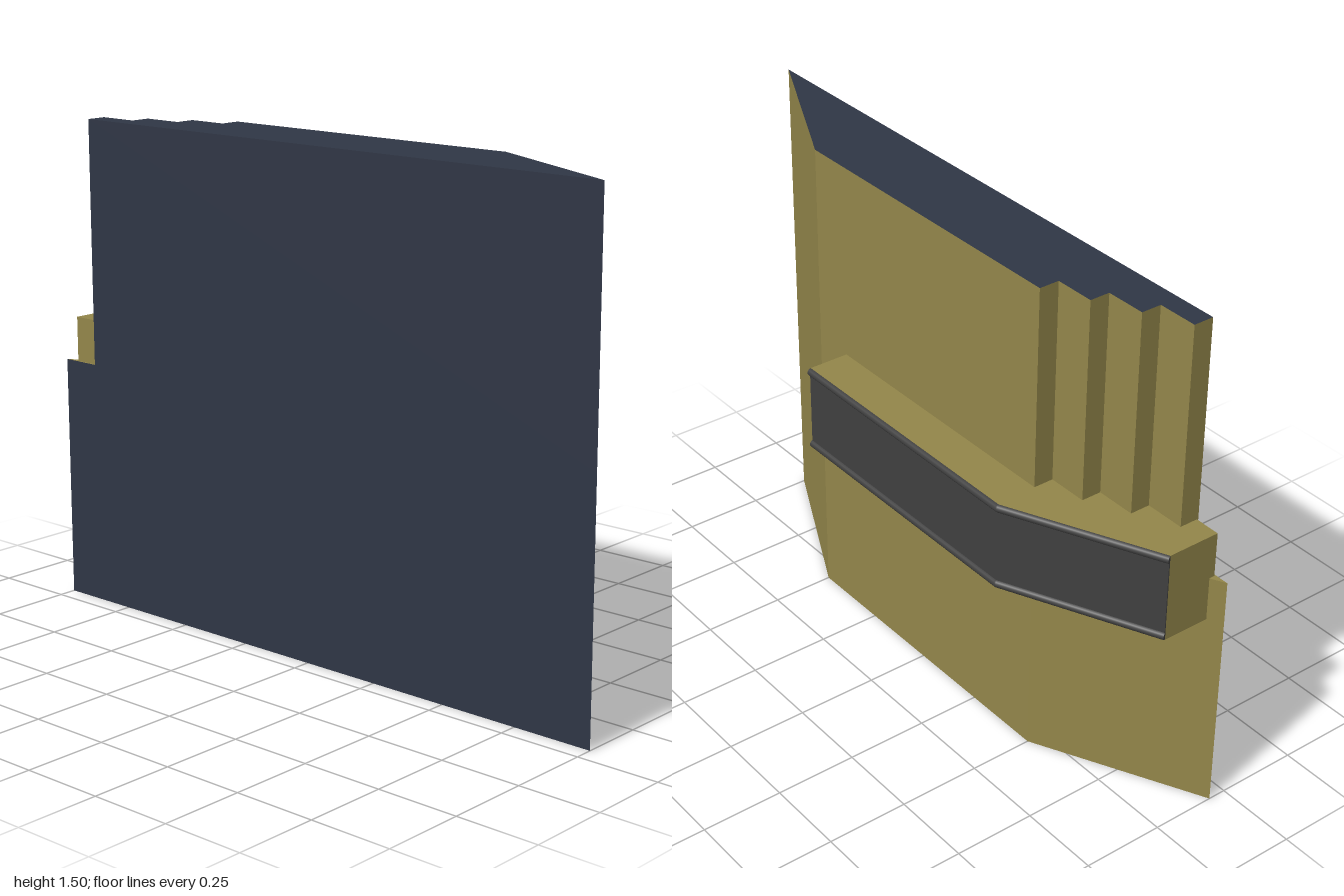
import * as THREE from 'three';

const navy = new THREE.MeshStandardMaterial({ color: 0x2f3645 });
const tan = new THREE.MeshStandardMaterial({ color: 0x93864a });
const charcoal = new THREE.MeshStandardMaterial({ color: 0x404040 });

// Upright prism from a plan outline of [x, z] points
function prism(plan, y0, y1) {
  const shape = new THREE.Shape(plan.map(([x, z]) => new THREE.Vector2(x, -z)));
  const geo = new THREE.ExtrudeGeometry(shape, { depth: y1 - y0, bevelEnabled: false });
  geo.rotateX(-Math.PI / 2);
  geo.translate(0, y0, 0);
  return geo;
}

// Paint triangles navy where the rule holds for their normal, tan elsewhere
function twoTone(geo, isNavy) {
  const n = geo.attributes.normal;
  geo.clearGroups();
  for (let i = 0; i < n.count; i += 3) {
    geo.addGroup(i, 3, isNavy(n.getY(i), n.getZ(i)) ? 0 : 1);
  }
  return new THREE.Mesh(geo, [navy, tan]);
}

function add(group, mesh, name) {
  mesh.name = name;
  group.add(mesh);
}

export function createModel() {
  const model = new THREE.Group();
  model.name = 'steppedWall';
  const front = 0.195, back = -0.055, middle = 0.75;

  // Lower half: plain trapezoid in plan
  const lower = [[-1, front], [1, front], [0.5, back], [-0.5, back]];
  add(model, twoTone(prism(lower, 0, middle), (ny, nz) => ny < -0.9 || nz > 0.9), 'lowerBody');

  // Upper half: the sloping side becomes four steps
  const upper = [[1, front], [0.5, back]];
  for (let i = 0; i < 4; i++) {
    const x = -0.5 - i * 0.125, z = back + i * 0.0625;
    upper.push([x, z], [x, z + 0.0625]);
  }
  add(model, twoTone(prism(upper, middle, 1.5), (ny, nz) => ny > 0.9 || nz > 0.9), 'upperBody');

  // Ledge wrapping the back and the sloping side
  const path = [[-0.955, 0.025], [-0.505, -0.182], [0.37, -0.182]];
  const ledge = [...path, [0.37, 0.02], [-0.4, 0.02], [-0.8, 0.19], [-0.955, 0.19]];
  add(model, new THREE.Mesh(prism(ledge, 0.615, 0.888), tan), 'ledge');

  // Dark facing on the outer side of the ledge
  const skin = [...path, ...path.map(([x, z]) => [x, z - 0.003]).reverse()];
  add(model, new THREE.Mesh(prism(skin, 0.628, 0.876), charcoal), 'ledgeFacing');

  // Round trim along the upper and lower edges of the facing
  const radius = 0.012;
  for (const [y, label] of [[0.628, 'lower'], [0.876, 'upper']]) {
    const trim = new THREE.Group();
    trim.name = label + 'Trim';
    const points = path.map(([x, z]) => new THREE.Vector3(x, y, z));
    for (let i = 0; i < 2; i++) {
      const dir = points[i + 1].clone().sub(points[i]);
      const rod = new THREE.Mesh(new THREE.CylinderGeometry(radius, radius, dir.length(), 16), charcoal);
      rod.position.copy(points[i]).addScaledVector(dir, 0.5);
      rod.quaternion.setFromUnitVectors(new THREE.Vector3(0, 1, 0), dir.normalize());
      add(trim, rod, 'trimRod');
    }
    const joint = new THREE.Mesh(new THREE.SphereGeometry(radius, 16, 12), charcoal);
    joint.position.copy(points[1]);
    add(trim, joint, 'trimJoint');
    model.add(trim);
  }
  return model;
}
